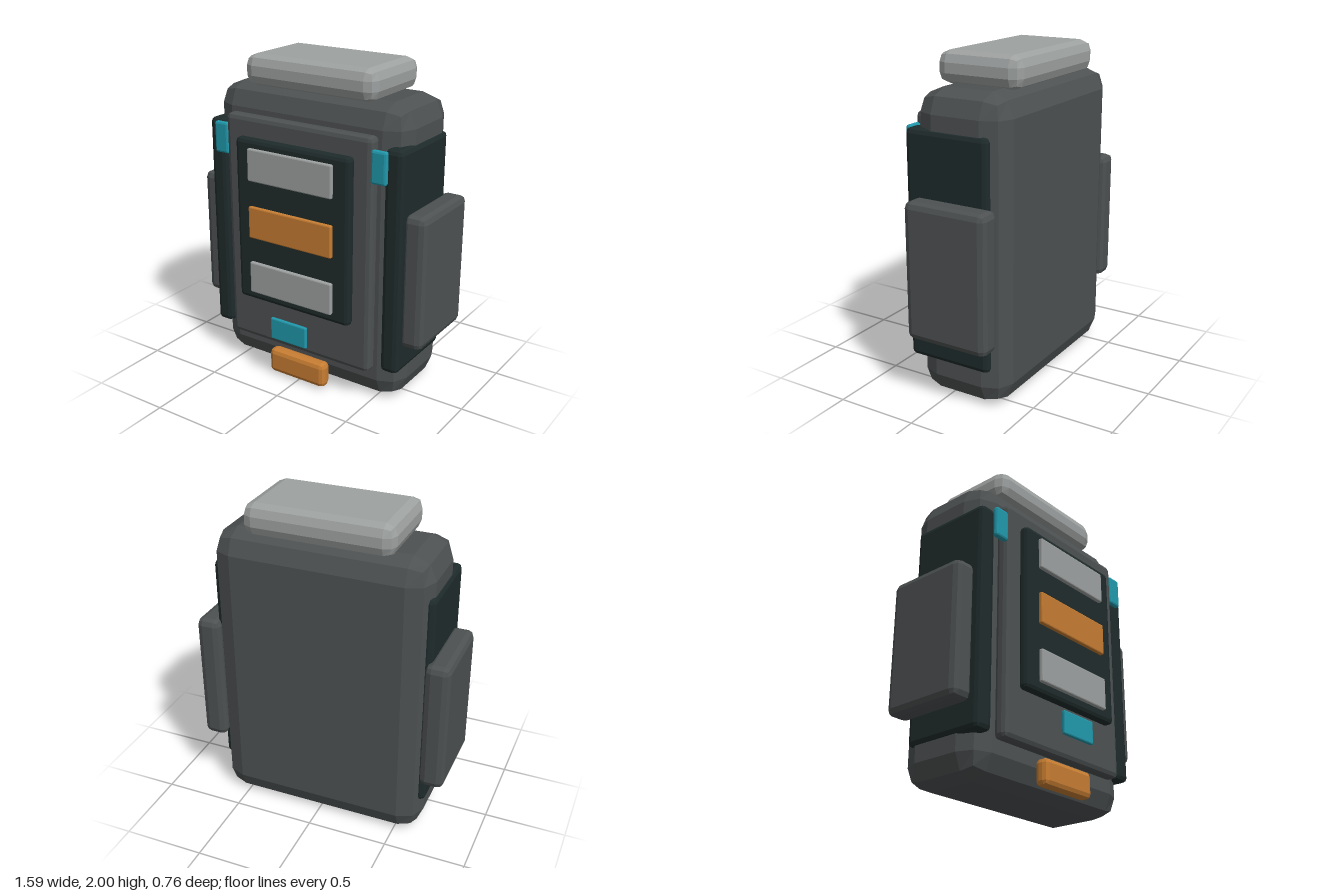
import * as THREE from 'three';
import { RoundedBoxGeometry } from 'three/addons/geometries/RoundedBoxGeometry.js';

const paint = (name, color) => {
  const m = new THREE.MeshStandardMaterial({ color });
  m.name = name;
  return m;
};

export function createModel() {
  const grey = paint('charcoal grey', 0x4d5152);
  const dark = paint('dark green black', 0x1f2b2b);
  const light = paint('light grey', 0x9da1a0);
  const orange = paint('orange', 0xc77d32);
  const teal = paint('teal', 0x2199ac);

  const model = new THREE.Group();
  model.name = 'backpack';

  // Box between two limits per axis, with a faceted two-step bevel
  const block = (name, material, [x0, x1], [y0, y1], [z0, z1], bevel) => {
    const geometry = new RoundedBoxGeometry(x1 - x0, y1 - y0, z1 - z0, 1, bevel);
    geometry.computeVertexNormals(); // unshared corners, so facets stay flat
    const mesh = new THREE.Mesh(geometry, material);
    mesh.name = name;
    mesh.position.set((x0 + x1) / 2, (y0 + y1) / 2, (z0 + z1) / 2);
    model.add(mesh);
  };

  // Main body and top roll
  block('body', grey, [-0.66, 0.66], [0, 1.82], [-0.38, 0.2], 0.135);
  block('topRoll', light, [-0.45, 0.45], [1.81, 2], [-0.36, 0.18], 0.065);

  // Layered front
  block('frontPanel', grey, [-0.51, 0.51], [0.21, 1.66], [0.19, 0.28], 0.03);
  block('frontInset', dark, [-0.4, 0.4], [0.51, 1.54], [0.265, 0.335], 0.025);
  [[light, 0.67], [orange, 1.03], [light, 1.39]].forEach(([material, y], i) =>
    block('frontBar' + (i + 1), material, [-0.295, 0.295], [y - 0.1, y + 0.1], [0.33, 0.36], 0.008));
  block('frontTag', teal, [-0.13, 0.13], [0.305, 0.445], [0.355, 0.38], 0.008);
  block('bottomBuckle', orange, [-0.205, 0.205], [0.015, 0.175], [0.22, 0.305], 0.03);

  // Side straps, pouches and clips
  for (const [side, s] of [['left', 1], ['right', -1]]) {
    const span = (a, b) => (s > 0 ? [a, b] : [-b, -a]);
    block(side + 'Strap', dark, span(0.56, 0.675), [0.23, 1.6], [-0.3, 0.235], 0.03);
    block(side + 'Pouch', grey, span(0.645, 0.795), [0.39, 1.215], [-0.355, 0.175], 0.04);
    block(side + 'Clip', teal, span(0.5, 0.6), [1.4, 1.595], [0.245, 0.282], 0.014);
  }
  return model;
}
